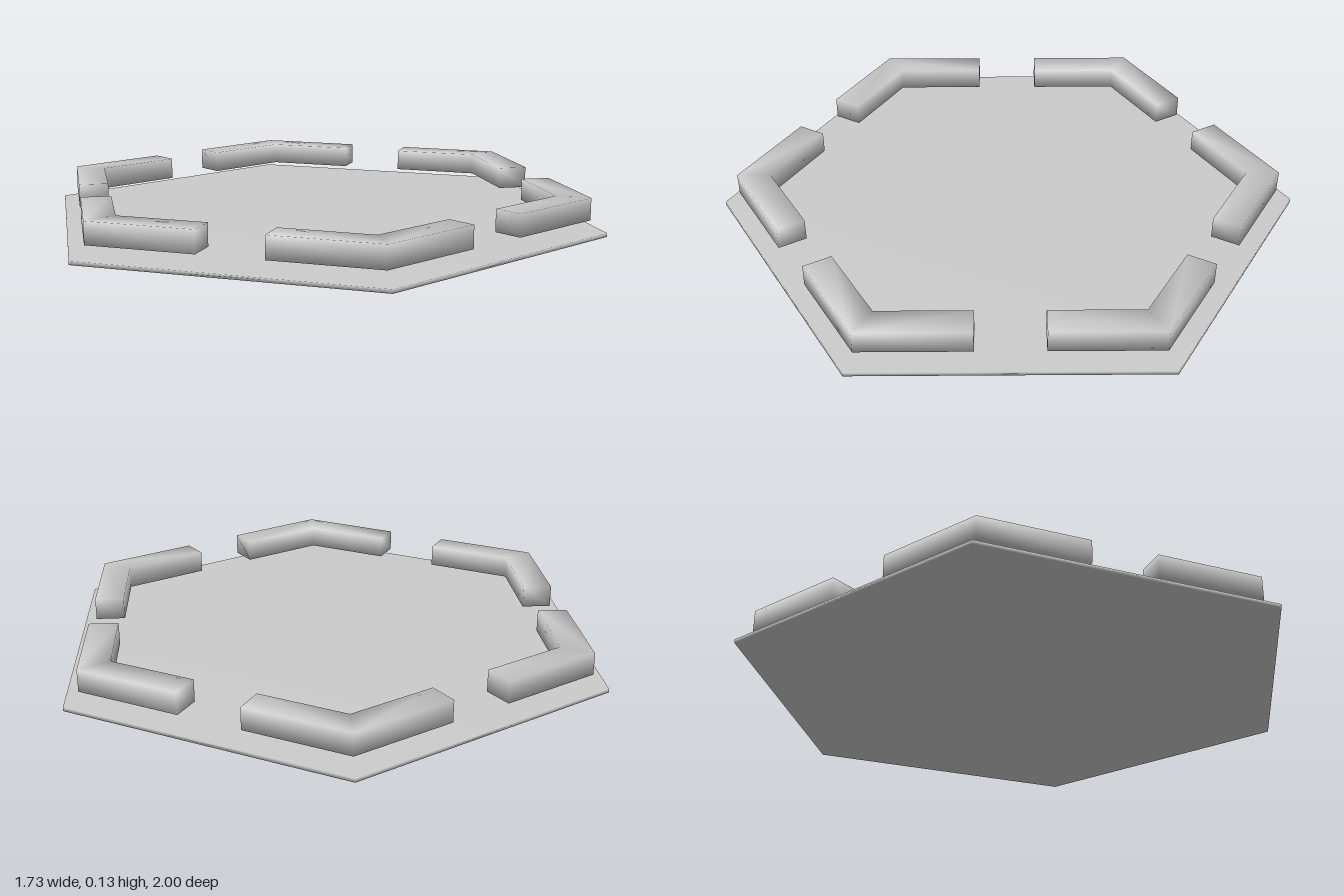
import * as THREE from 'three';
import { mergeVertices } from 'three/addons/utils/BufferGeometryUtils.js';

const material = new THREE.MeshStandardMaterial({ color: 0xcccccc });

// Share corners between faces so the shading is smooth all over
function smooth(geometry) {
  geometry.deleteAttribute('uv');
  geometry.deleteAttribute('normal');
  const merged = mergeVertices(geometry, 1e-4);
  merged.computeVertexNormals();
  return merged;
}

// Angled bar following one corner of a hexagon, lying flat
function cornerBarGeometry(radius, width, length, height) {
  const c = Math.cos(Math.PI / 6), s = 0.5;
  const inner = radius - width / c;
  const endX = length * c, endY = radius - length * s;
  const shape = new THREE.Shape([
    [0, radius],
    [-endX, endY],
    [-endX + width * s, endY - width * c],
    [0, inner],
    [endX - width * s, endY - width * c],
    [endX, endY],
  ].map(([x, y]) => new THREE.Vector2(x, y)));
  const geometry = new THREE.ExtrudeGeometry(shape, { depth: height, bevelEnabled: false });
  geometry.rotateX(-Math.PI / 2);
  return smooth(geometry);
}

export function createModel() {
  const model = new THREE.Group();
  model.name = 'hexagonalTile';

  // Thin hexagonal base with corners at front and back
  const thickness = 0.013;
  const base = new THREE.Mesh(smooth(new THREE.CylinderGeometry(1, 1, thickness, 6)), material);
  base.name = 'basePlate';
  base.position.y = thickness / 2;
  model.add(base);

  // One raised bar floating above each corner
  const barGeometry = cornerBarGeometry(0.945, 0.1, 0.363, 0.075);
  for (let i = 0; i < 6; i++) {
    const bar = new THREE.Mesh(barGeometry, material);
    bar.name = `cornerBar${i + 1}`;
    bar.position.y = 0.052;
    bar.rotation.y = i * Math.PI / 3;
    model.add(bar);
  }
  return model;
}
